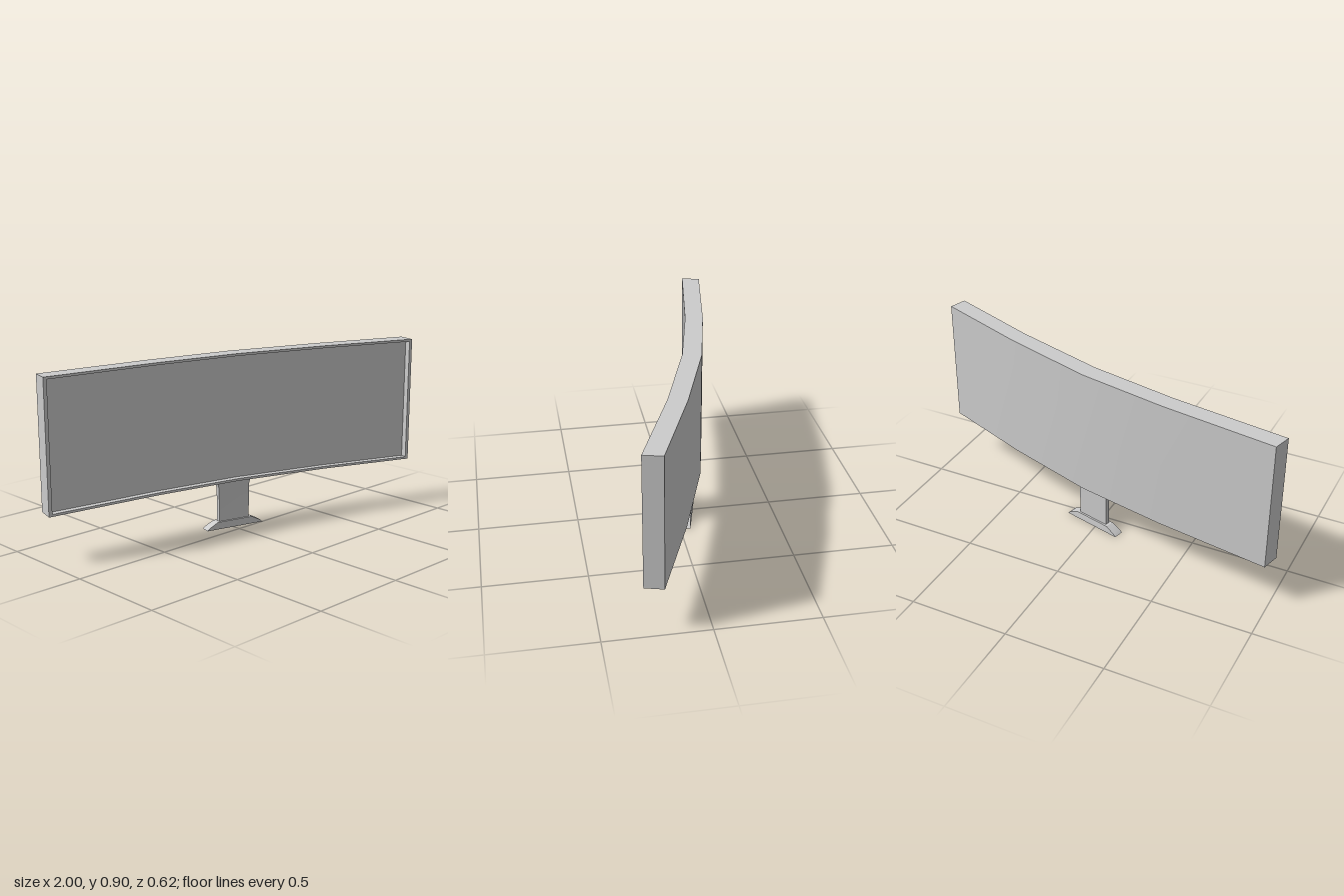
import * as THREE from 'three';
import { toCreasedNormals } from 'three/addons/utils/BufferGeometryUtils.js';

const grey = new THREE.MeshStandardMaterial({ color: 0xcccccc });

// Mesh from quads of Vector3 corners, counter-clockwise seen from outside
function quadMesh(name, quads, crease = 0.5) {
  const pos = [];
  for (const [a, b, c, d] of quads) for (const p of [a, b, c, a, c, d]) pos.push(p.x, p.y, p.z);
  let geo = new THREE.BufferGeometry();
  geo.setAttribute('position', new THREE.Float32BufferAttribute(pos, 3));
  geo = toCreasedNormals(geo, crease);
  const mesh = new THREE.Mesh(geo, grey);
  mesh.name = name;
  return mesh;
}

// Plan of the curved panel: [x, z] of the front and back edge at five stations
const FRONT = [[-1, -0.22], [-0.42, -0.13], [0.03, -0.033], [0.5, 0.12], [0.975, 0.307]];
const BACK = [[-0.975, -0.31], [-0.405, -0.22], [0.05, -0.125], [0.52, 0.03], [1, 0.217]];
const BOTTOM = 0.24, TOP = 0.893, BEZEL = 0.012, RECESS = 0.35, EDGE = 0.03;

// Point on the panel: station u (0..4), depth d (0 front, 1 back), height y
function panelPoint(u, d, y) {
  const i = Math.min(Math.floor(u), 3), t = u - i;
  const at = (row, k) => THREE.MathUtils.lerp(row[i][k], row[i + 1][k], t);
  const x = THREE.MathUtils.lerp(at(FRONT, 0), at(BACK, 0), d);
  const z = THREE.MathUtils.lerp(at(FRONT, 1), at(BACK, 1), d);
  return new THREE.Vector3(x, y + 0.003 * x, z);
}

// Strip along the panel between two lines given as [depth, y]
function strip(stations, a, b) {
  return stations.slice(1).map((u1, i) => {
    const u0 = stations[i];
    return [panelPoint(u0, ...a), panelPoint(u1, ...a), panelPoint(u1, ...b), panelPoint(u0, ...b)];
  });
}

// Upright quad between two [station, depth] positions, from left to right
function upright(l, r, y0, y1) {
  return [panelPoint(...l, y0), panelPoint(...r, y0), panelPoint(...r, y1), panelPoint(...l, y1)];
}

// Rectangular rings [width, depth, y] joined into a solid
function loft(name, rings) {
  const corners = rings.map(([w, d, y]) =>
    [[-1, 1], [1, 1], [1, -1], [-1, -1]].map(([sx, sz]) => new THREE.Vector3(sx * w / 2, y, sz * d / 2)));
  const quads = [];
  for (let r = 0; r + 1 < rings.length; r++) {
    for (let k = 0; k < 4; k++) {
      const n = (k + 1) % 4;
      quads.push([corners[r][k], corners[r][n], corners[r + 1][n], corners[r + 1][k]]);
    }
  }
  return quadMesh(name, quads, 0.3);
}

export function createModel() {
  const model = new THREE.Group();
  const all = [0, EDGE, 1, 2, 3, 4 - EDGE, 4];
  const inner = all.slice(1, -1);
  const u0 = EDGE, u1 = 4 - EDGE;
  const y0 = BOTTOM + BEZEL, y1 = TOP - BEZEL;

  // Outer shell: back, top, bottom and end caps
  model.add(quadMesh('housing', [
    ...strip(all, [1, TOP], [1, BOTTOM]),
    ...strip(all, [0, TOP], [1, TOP]),
    ...strip(all, [1, BOTTOM], [0, BOTTOM]),
    upright([0, 1], [0, 0], BOTTOM, TOP),
    upright([4, 0], [4, 1], BOTTOM, TOP),
  ]));

  // Narrow frame and the walls that step back to the screen
  model.add(quadMesh('bezel', [
    ...strip(all, [0, BOTTOM], [0, y0]),
    ...strip(all, [0, y1], [0, TOP]),
    upright([0, 0], [u0, 0], y0, y1),
    upright([u1, 0], [4, 0], y0, y1),
    ...strip(inner, [0, y0], [RECESS, y0]),
    ...strip(inner, [RECESS, y1], [0, y1]),
    upright([u0, 0], [u0, RECESS], y0, y1),
    upright([u1, RECESS], [u1, 0], y0, y1),
  ]));

  // Curved display surface
  model.add(quadMesh('screen', strip(inner, [RECESS, y0], [RECESS, y1])));

  // Stand, turned to follow the middle of the panel
  const stand = new THREE.Group();
  stand.name = 'stand';
  stand.position.set(0.0175, 0, -0.065);
  stand.rotation.y = -0.25;
  stand.add(loft('neck', [
    [0.173, 0.026, 0.03], [0.173, 0.026, 0.2], [0.18, 0.027, 0.222], [0.197, 0.03, 0.25],
  ]));
  // Sloped foot with a hollow underside
  stand.add(loft('base', [
    [0, 0, 0.015], [0.28, 0.036, 0.015], [0.29, 0.042, 0], [0.322, 0.052, 0],
    [0.295, 0.051, 0.012], [0.2, 0.046, 0.036], [0, 0, 0.036],
  ]));
  model.add(stand);

  return model;
}
